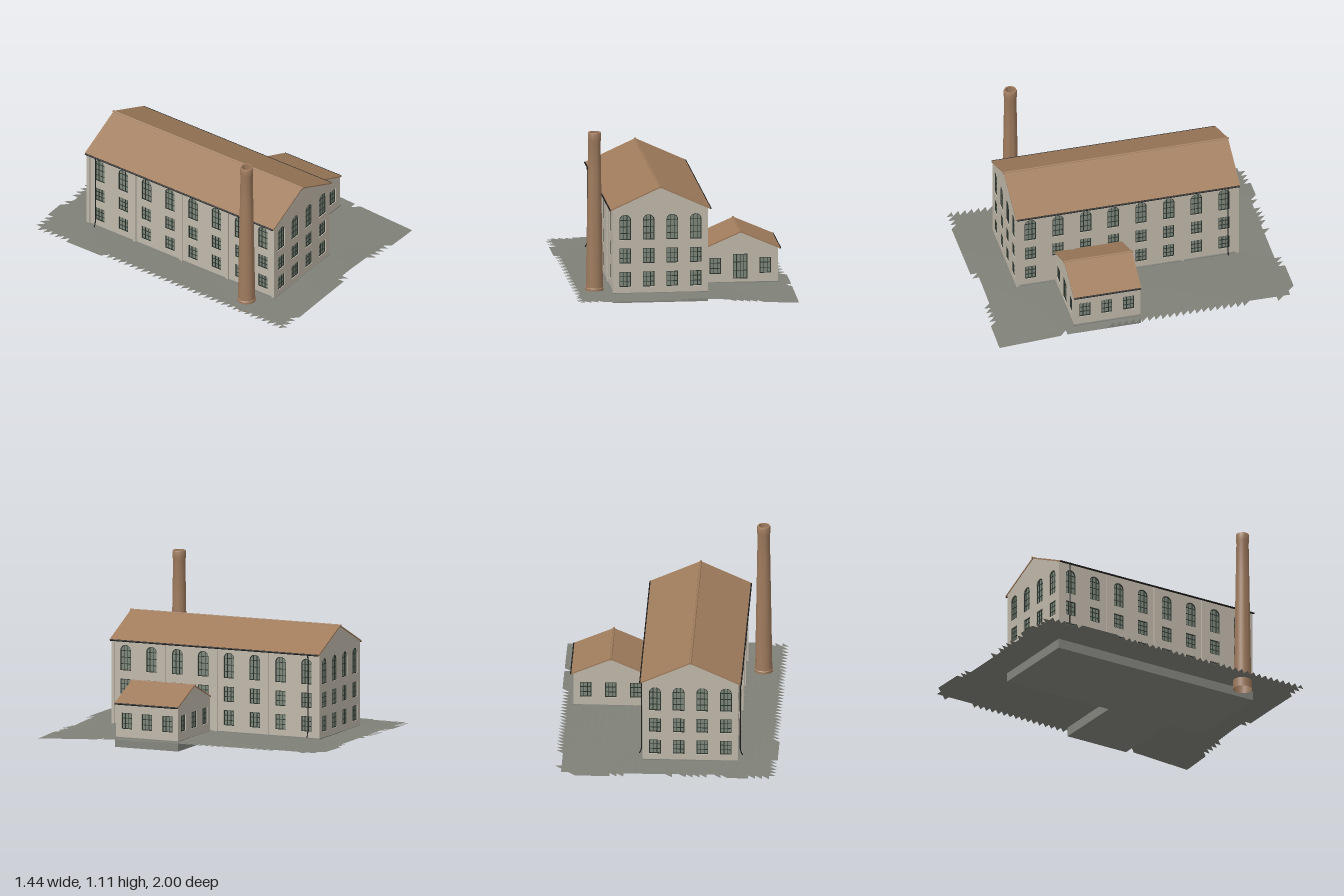
import * as THREE from 'three';
import { mergeGeometries, toCreasedNormals } from 'three/addons/utils/BufferGeometryUtils.js';

const mat = (name, color, side = THREE.FrontSide) => {
  const m = new THREE.MeshStandardMaterial({ color, side });
  m.name = name;
  return m;
};

const REVEAL = 0.012; // depth of the window openings

export function createModel() {
  const plaster = mat('plaster', 0xc0b8aa);
  const roofTile = mat('roof tile', 0xa07c5c);
  const brick = mat('chimney brick', 0x9f7b5e, THREE.DoubleSide);
  const glass = mat('glass', 0x7d877b);
  const frame = mat('window frame', 0x2b342e);
  const iron = mat('black iron', 0x1c1d1c);
  const stone = mat('plinth stone', 0x83857d);
  const earth = mat('ground', 0x7f8178, THREE.DoubleSide);

  const model = new THREE.Group();
  model.name = 'factory';

  const add = (parent, name, geometry, material, x = 0, y = 0, z = 0) => {
    const mesh = new THREE.Mesh(geometry, material);
    mesh.name = name;
    mesh.position.set(x, y, z);
    parent.add(mesh);
    return mesh;
  };
  const box = (w, h, d, x, y, z) => new THREE.BoxGeometry(w, h, d).translate(x, y, z).toNonIndexed();
  const poly = (pts) => new THREE.Shape(pts.map(([x, y]) => new THREE.Vector2(x, y)));
  const extrude = (shape, depth, z = 0) =>
    new THREE.ExtrudeGeometry(shape, { depth, bevelEnabled: false, curveSegments: 10 }).translate(0, 0, z);

  // Window outline, square or round-headed, shrunk by inset
  const opening = ({ u, y0, y1, w, arch }, inset = 0, Type = THREE.Shape) => {
    const r = w / 2 - inset, lo = y0 + inset, hi = arch ? y1 - w / 2 : y1 - inset;
    const s = new Type();
    s.moveTo(u - r, lo);
    s.lineTo(u + r, lo);
    s.lineTo(u + r, hi);
    if (arch) s.absarc(u, hi, r, 0, Math.PI, false);
    else s.lineTo(u - r, hi);
    s.lineTo(u - r, lo);
    return s;
  };

  // Wall skin pierced by windows, with glazing set back in the openings
  const wall = (parent, name, outline, windows, x, z, turn) => {
    const g = new THREE.Group();
    g.name = name;
    g.position.set(x, 0, z);
    g.rotation.y = turn;
    parent.add(g);
    const skin = poly(outline), panes = [], bars = [];
    for (const win of windows) {
      const { u, y0, y1, w, arch, cols = 3, rows = 3 } = win;
      skin.holes.push(opening(win, 0, THREE.Path));
      panes.push(new THREE.ShapeGeometry(opening(win), 10).translate(0, 0, 0.002));
      const rim = opening(win);
      rim.holes.push(opening(win, 0.005, THREE.Path));
      bars.push(extrude(rim, 0.005, 0.002));
      const r = w / 2, spring = arch ? y1 - r : y1;
      for (let i = 1; i < cols; i++) {
        const dx = (i / cols - 0.5) * w;
        const top = arch ? spring + Math.sqrt(r * r - dx * dx) : y1;
        bars.push(box(0.004, top - y0, 0.003, u + dx, (top + y0) / 2, 0.0045));
      }
      for (let j = 1; j <= rows; j++) {
        if (j === rows && !arch) continue;
        bars.push(box(w, 0.004, 0.003, u, y0 + (spring - y0) * j / rows, 0.0045));
      }
    }
    add(g, name + 'Skin', extrude(skin, REVEAL), plaster);
    if (panes.length) {
      add(g, 'glazing', mergeGeometries(panes), glass);
      add(g, 'windowBars', mergeGeometries(bars), frame);
    }
  };

  // Gabled block: plinth, core, four walls, roof, ridge cap and gutters
  const block = (name, { cx, cz, half, len, eave, ridge, over, end, front, back, right, left, gutters }) => {
    const g = new THREE.Group();
    g.name = name;
    g.position.set(cx, 0, cz);
    model.add(g);
    const L = len / 2, c = half - REVEAL, s = L - REVEAL, slope = (ridge - eave) / half;
    const at = (x) => ridge - 0.009 - slope * x;
    const gable = (h) => [[-h, 0.06], [h, 0.06], [h, at(h)], [0, at(0)], [-h, at(h)]];
    const side = [[-s, 0.06], [s, 0.06], [s, at(half)], [-s, at(half)]];
    add(g, 'plinth', box(half * 2 + 0.02, 0.066, len + 0.005, 0, 0.033, 0), stone);
    add(g, 'core', extrude(poly(gable(c)), s * 2, -s), plaster);
    wall(g, 'frontWall', gable(half), front, 0, s, 0);
    wall(g, 'backWall', gable(half), back, 0, -s, Math.PI);
    wall(g, 'rightWall', side, right, c, 0, Math.PI / 2);
    wall(g, 'leftWall', side, left, -c, 0, -Math.PI / 2);
    const e = half + over, ye = ridge - slope * e, t = 0.009;
    const chevron = poly([[-e, ye - t], [0, ridge - t], [e, ye - t], [e, ye], [0, ridge], [-e, ye]]);
    add(g, 'roof', extrude(chevron, len + end * 2, -L - end), roofTile);
    add(g, 'ridgeCap', new THREE.CylinderGeometry(0.008, 0.008, len + 0.02, 8).rotateX(Math.PI / 2),
      roofTile, 0, ridge - 0.004, 0);
    for (const k of gutters) {
      add(g, 'gutter', new THREE.CylinderGeometry(0.006, 0.006, len, 8).rotateX(Math.PI / 2),
        iron, k * (e + 0.002), ye - 0.005, 0);
    }
    return g;
  };

  // Window layouts
  const floors = (us, skip = () => false) => us.flatMap((u) => [
    { u, y0: 0.105, y1: 0.205, w: 0.075 },
    { u, y0: 0.26, y1: 0.36, w: 0.075 },
    { u, y0: 0.415, y1: 0.583, w: 0.077, arch: true, rows: 3 },
  ].filter((win) => !skip(win)));
  const gableUs = [-0.23, -0.077, 0.077, 0.23];
  const sideUs = Array.from({ length: 8 }, (_, i) => (i - 3.5) * 0.185);
  const small = (u) => ({ u, y0: 0.12, y1: 0.226, w: 0.074 });

  // Main hall
  const hall = block('mainHall', {
    cx: -0.155, cz: 0, half: 0.3, len: 1.49, eave: 0.63, ridge: 0.767, over: 0.025, end: 0.004,
    front: floors(gableUs), back: floors(gableUs), left: floors(sideUs),
    right: floors(sideUs, (win) => win.y0 < 0.2 && win.u < 0 && win.u > -0.5),
    gutters: [-1, 1],
  });
  for (const k of [-1, 1]) {
    // Pilasters between each pair of bays
    for (let i = -2; i <= 2; i++) {
      add(hall, 'pilaster', box(0.012, 0.56, 0.022, 0, 0, 0), plaster, k * 0.304, 0.34, i * 0.367);
    }
    // Downpipe with kicked-out foot
    const path = new THREE.CatmullRomCurve3([[0.326, 0.62], [0.32, 0.58], [0.32, 0.35], [0.32, 0.11], [0.335, 0.07]]
      .map(([x, y]) => new THREE.Vector3(k * x, y, -0.668)), false, 'catmullrom', 0.2);
    add(hall, 'downpipe', new THREE.TubeGeometry(path, 24, 0.004, 6), iron);
  }

  // Side annex
  block('annex', {
    cx: 0.397, cz: 0.26, half: 0.242, len: 0.445, eave: 0.296, ridge: 0.401, over: 0.014, end: 0.003,
    front: [small(-0.165), { u: -0.003, y0: 0.085, y1: 0.25, w: 0.095, cols: 4, rows: 3 }, small(0.161)],
    back: [small(-0.163), small(0), small(0.163)],
    right: [small(-0.147), small(-0.002), small(0.143)],
    left: [], gutters: [1],
  });

  // Chimney stack with a thick rim and open flue
  const stack = [[0.061, 0], [0.0605, 0.075], [0.056, 0.08], [0.05, 0.45], [0.044, 0.8], [0.04, 1.04],
    [0.043, 1.055], [0.043, 1.098], [0.04, 1.105], [0.03, 1.105], [0.03, 0.95], [0, 0.95]]
    .map(([r, y]) => new THREE.Vector2(r, y));
  add(model, 'chimney', toCreasedNormals(new THREE.LatheGeometry(stack, 32), 0.5), brick, -0.57, 0, 0.6);

  // Ground sheet with ragged rim: F full cell, T half-cell tooth, N no cell
  const NX = 32, NZ = 44;
  const backRim = 'TTTTFFFTTNTTTTNTNNNNNNTTFFFFFTNN';
  const frontRim = 'TTTTFFFFFFFFFFFTNNNNNNTTTTTFFFFF';
  const leftRim = 'T'.repeat(6) + 'F'.repeat(6) + 'T'.repeat(32);
  const rightRim = 'NNTNNNN' + 'T'.repeat(21) + 'FFFFFFT' + 'F'.repeat(9);
  const clamp = (v) => THREE.MathUtils.clamp(v, 0, 1);
  const point = (i, j) => {
    const x = (i / NX - 0.5) * 1.44, z = (j / NZ - 0.5) * 2;
    const drop = 0.032 * clamp((z - 0.45) / 0.55) * clamp((x - 0.1) / 0.6);
    return [x, 0.062 + 0.002 * Math.sin(5 * x + 3 * z) - drop, z];
  };
  const verts = [];
  for (let i = 0; i < NX; i++) {
    for (let j = 0; j < NZ; j++) {
      const a = point(i, j), b = point(i, j + 1), c = point(i + 1, j + 1), d = point(i + 1, j);
      const rims = [i === 0 && leftRim[j], i === NX - 1 && rightRim[j], j === 0 && backRim[i], j === NZ - 1 && frontRim[i]];
      if (rims.includes('N')) continue;
      const dropFirst = rims[0] === 'T' || rims[3] === 'T';
      const dropSecond = rims[1] === 'T' || rims[2] === 'T';
      if (!dropFirst) verts.push(...a, ...b, ...c);
      if (!dropSecond) verts.push(...a, ...c, ...d);
    }
  }
  const sheet = new THREE.BufferGeometry();
  sheet.setAttribute('position', new THREE.Float32BufferAttribute(verts, 3));
  sheet.computeVertexNormals();
  add(model, 'ground', sheet, earth);

  return model;
}
